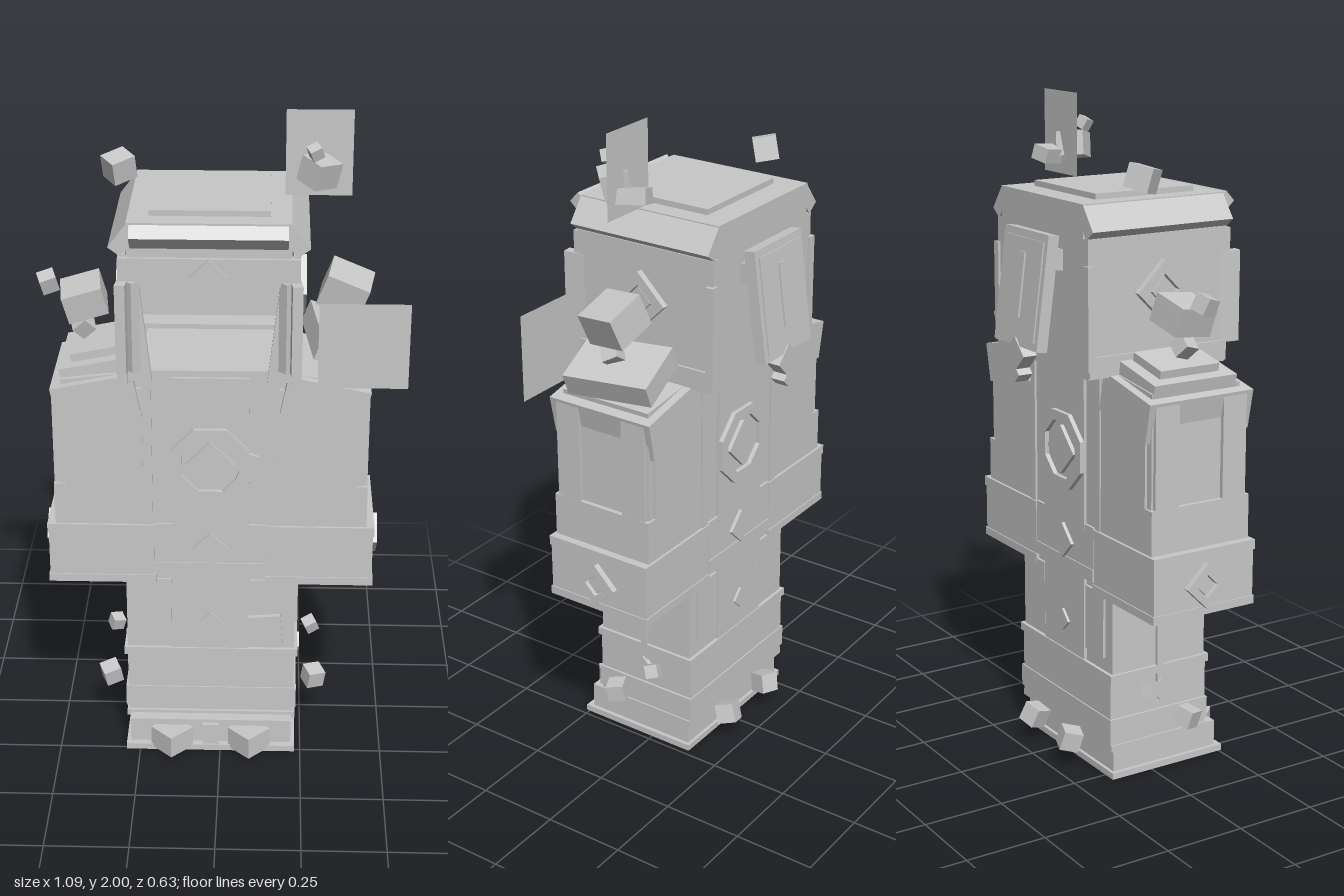
import * as THREE from 'three';

const grey = new THREE.MeshStandardMaterial({ color: 0xc8c8c8 });
grey.name = 'stoneGrey';
grey.side = THREE.DoubleSide;

// Box with size, position and rotation
function box(parent, name, size, pos, rot = [0, 0, 0]) {
  const m = new THREE.Mesh(new THREE.BoxGeometry(...size), grey);
  m.name = name;
  m.position.set(...pos);
  m.rotation.set(...rot);
  parent.add(m);
  return m;
}

function group(parent, name, pos = [0, 0, 0], rotY = 0) {
  const g = new THREE.Group();
  g.name = name;
  g.position.set(...pos);
  g.rotation.y = rotY;
  parent.add(g);
  return g;
}

// Extruded flat shape
function extrude(parent, name, shape, depth, pos) {
  const m = new THREE.Mesh(new THREE.ExtrudeGeometry(shape, { depth, bevelEnabled: false }), grey);
  m.name = name;
  m.position.set(...pos);
  parent.add(m);
  return m;
}

function polygon(n, r, turn = 0) {
  return Array.from({ length: n }, (_, i) => {
    const a = turn + (i / n) * Math.PI * 2;
    return new THREE.Vector2(Math.cos(a) * r, Math.sin(a) * r);
  });
}

// Polygon ring of n sides
function ring(parent, name, n, r, hole, depth, pos, turn) {
  const s = new THREE.Shape(polygon(n, r, turn));
  s.holes.push(new THREE.Path(polygon(n, hole, turn)));
  return extrude(parent, name, s, depth, pos);
}

// Square standing on its corner, r = half diagonal, facing +z
function diamond(parent, name, r, depth, pos) {
  return box(parent, name, [r * 1.414, r * 1.414, depth], pos, [0, 0, Math.PI / 4]);
}

export function createModel() {
  const model = new THREE.Group();
  model.name = 'armouredFigure';
  const body = group(model, 'body', [-0.03, 0, 0.025]);

  // Boots and legs
  box(body, 'sole', [0.525, 0.02, 0.4], [0, 0.01, 0.035]);
  box(body, 'bootBase', [0.5, 0.09, 0.37], [0, 0.055, 0.03]);
  box(body, 'bootRim', [0.525, 0.02, 0.35], [0, 0.1, 0.005]);
  box(body, 'boots', [0.515, 0.235, 0.342], [0, 0.22, 0]);
  box(body, 'bootCollar', [0.53, 0.07, 0.35], [0, 0.16, 0]);
  box(body, 'bootTop', [0.535, 0.025, 0.352], [0, 0.325, 0]);
  box(body, 'legs', [0.515, 0.32, 0.33], [0, 0.48, 0]);
  for (const x of [-0.12, 0.12]) {
    box(body, 'toe', [0.092, 0.07, 0.092], [x, 0.045, 0.228], [0, Math.PI / 4, 0]);
  }
  box(body, 'toeGap', [0.05, 0.08, 0.03], [0, 0.05, 0.215]);

  // Torso
  box(body, 'torso', [0.4, 0.67, 0.33], [0, 0.935, 0]);
  box(body, 'belt', [0.33, 0.13, 0.345], [0, 0.705, 0]);
  box(body, 'beltRim', [0.33, 0.04, 0.352], [0, 0.62, 0]);

  // Ornament repeated on front and back
  for (const [side, turn] of [['front', 0], ['back', Math.PI]]) {
    const g = group(body, side + 'Ornament', [0, 0, 0], turn);
    box(g, 'chestPanel', [0.23, 0.5, 0.012], [0, 1.0, 0.168]);
    ring(g, 'emblemRing', 8, 0.125, 0.092, 0.016, [0, 0.975, 0.172], Math.PI / 8);
    diamond(g, 'emblemGem', 0.075, 0.02, [0, 0.975, 0.176]);
    diamond(g, 'beltGem', 0.055, 0.014, [0, 0.69, 0.176]);
    box(g, 'tabard', [0.23, 0.27, 0.014], [0, 0.475, 0.168]);
    diamond(g, 'tabardGem', 0.035, 0.012, [0, 0.435, 0.177]);
    for (const s of [-1, 1]) {
      box(g, 'thighPanel', [0.1, 0.2, 0.014], [s * 0.17, 0.48, 0.166]);
      box(g, 'chestEdge', [0.025, 0.48, 0.012], [s * 0.185, 1.0, 0.166]);
    }
  }
  box(body, 'loosePatch', [0.1, 0.1, 0.02], [0.167, 0.41, 0.178], [0, 0, 0.08]);
  box(body, 'chestShard', [0.04, 0.15, 0.012], [0.1, 0.94, 0.182], [0, 0, -0.35]);

  // Arms, mirrored
  for (const s of [-1, 1]) {
    const arm = group(body, s > 0 ? 'leftArm' : 'rightArm');
    box(arm, 'upperArm', [0.255, 0.44, 0.322], [s * 0.325, 0.99, 0]);
    box(arm, 'shoulder', [0.24, 0.13, 0.3], [s * 0.31, 1.18, 0], [0, 0, -s * 0.12]);
    box(arm, 'pauldron', [0.245, 0.12, 0.352], [s * 0.335, 1.175, 0], [0, 0, -s * 0.2]);
    box(arm, 'forearm', [0.272, 0.14, 0.336], [s * 0.33, 0.83, 0]);
    box(arm, 'cuff', [0.318, 0.195, 0.345], [s * 0.328, 0.667, 0]);
    box(arm, 'cuffTopRim', [0.325, 0.03, 0.352], [s * 0.328, 0.752, 0]);
    box(arm, 'cuffBottomRim', [0.325, 0.025, 0.352], [s * 0.328, 0.583, 0]);
    for (const z of [-1, 1]) {
      box(arm, 'armPanel', [0.23, 0.24, 0.012], [s * 0.315, 1.02, z * 0.162]);
      box(arm, 'armRib', [0.02, 0.34, 0.08], [s * 0.455, 1.03, z * 0.115]);
    }
    const gem = group(arm, 'cuffGem', [s * 0.482, 0.66, 0], s * Math.PI / 2);
    ring(gem, 'gemFrame', 4, 0.068, 0.035, 0.024, [0, 0, 0], 0);
    diamond(gem, 'gem', 0.03, 0.02, [0, 0, 0.005]);
    // Leg side strip and stud
    box(body, 'legStrip', [0.012, 0.3, 0.022], [s * 0.262, 0.42, 0]);
    const stud = group(body, 'legStud', [s * 0.268, 0.26, 0], s * Math.PI / 2);
    diamond(stud, 'studGem', 0.035, 0.014, [0, 0, 0]);
  }
  // Shoulder caps
  box(model, 'rightShoulderCap', [0.2, 0.05, 0.28], [-0.37, 1.25, 0.02], [0, 0, 0.2]);
  box(model, 'rightShoulderCapTop', [0.14, 0.04, 0.2], [-0.37, 1.28, 0.02], [0, 0, 0.2]);
  box(model, 'leftShoulderCap', [0.175, 0.07, 0.27], [0.345, 1.305, 0.015], [0.05, 0.12, -0.38]);

  // Helmet, hollow with an open face
  const head = group(body, 'helmet');
  box(head, 'backWall', [0.51, 0.4, 0.02], [0, 1.445, -0.235]);
  box(head, 'neckRim', [0.47, 0.04, 0.08], [0, 1.265, -0.19]);
  box(head, 'roof', [0.46, 0.1, 0.475], [0, 1.69, -0.008]);
  box(head, 'crown', [0.34, 0.02, 0.335], [0, 1.747, 0]);
  box(head, 'browBand', [0.51, 0.08, 0.03], [0, 1.6, 0.225]);
  diamond(head, 'browGem', 0.055, 0.014, [0, 1.587, 0.245]);
  box(head, 'browBar', [0.44, 0.042, 0.075], [0, 1.7, 0.235], [-0.75, 0, 0]);
  for (const s of [-1, 1]) {
    box(head, 'sideWall', [0.02, 0.4, 0.47], [s * 0.245, 1.445, -0.01]);
    box(head, 'sideBar', [0.088, 0.044, 0.475], [s * 0.2375, 1.69, -0.008], [0, 0, -s * 0.925]);
    box(head, 'cheekGuard', [0.03, 0.27, 0.085], [s * 0.243, 1.437, 0.23], [0, s * 0.12, 0]);
    box(head, 'cheekPost', [0.03, 0.27, 0.03], [s * 0.217, 1.437, 0.235], [0, Math.PI / 4, 0]);
    box(head, 'sideFoot', [0.02, 0.06, 0.47], [s * 0.253, 1.28, -0.01]);
    box(head, 'rearPost', [0.025, 0.3, 0.025], [s * 0.255, 1.42, -0.24]);
    // Tapered cheek plate
    const cheek = new THREE.Shape([[0.25, 1.57], [0.2, 1.57], [0.165, 1.26], [0.25, 1.26]]
      .map(([x, y]) => new THREE.Vector2(s * x, y)));
    extrude(head, 'cheekPlate', cheek, 0.015, [0, 0, 0.205]);
    const gem = group(head, 'templeGem', [s * 0.253, 1.48, 0], s * Math.PI / 2);
    ring(gem, 'templeFrame', 4, 0.09, 0.05, 0.022, [0, 0, 0], 0);
    diamond(gem, 'templeStone', 0.04, 0.015, [0, 0, 0.008]);
  }
  // Hanging panel at the back of the helmet
  const panel = group(head, 'backPanel', [0, 1.475, -0.297]);
  panel.rotation.x = 0.13;
  box(panel, 'panelSlab', [0.245, 0.335, 0.035], [0, 0, 0]);
  box(panel, 'panelFace', [0.21, 0.29, 0.02], [0, 0, -0.012]);
  box(panel, 'panelSlit', [0.035, 0.19, 0.014], [0, 0.01, -0.021]);
  box(panel, 'panelBracket', [0.24, 0.06, 0.07], [0, 0.1, 0.03]);
  box(head, 'panelPendant', [0.075, 0.075, 0.045], [0, 1.285, -0.316], [0, 0, Math.PI / 4]);
  box(head, 'pendantTip', [0.035, 0.035, 0.045], [0, 1.225, -0.316], [0, 0, Math.PI / 4]);

  // Floating flat panes
  const pane = (name, w, h, pos) => {
    const m = new THREE.Mesh(new THREE.PlaneGeometry(w, h), grey);
    m.name = name;
    m.position.set(...pos);
    model.add(m);
  };
  pane('upperPane', 0.19, 0.25, [0.275, 1.875, 0.03]);
  pane('lowerPane', 0.26, 0.26, [0.41, 1.36, 0.21]);

  // Floating rubble: size, position, rotation
  const rubble = [
    [[0.12, 0.085, 0.13], [-0.405, 1.43, 0.02], [0.12, 0.12, 0.25]],
    [[0.05, 0.05, 0.05], [-0.51, 1.475, 0.02], [0.3, 0.3, 0.2]],
    [[0.05, 0.05, 0.05], [-0.41, 1.34, 0.02], [0.3, 0.2, 0.7]],
    [[0.075, 0.07, 0.07], [-0.3, 1.805, -0.05], [0.2, 0.6, 0.1]],
    [[0.13, 0.1, 0.13], [0.36, 1.465, 0.02], [0.12, -0.15, -0.35]],
    [[0.05, 0.05, 0.05], [0.36, 1.36, 0.03], [0.5, 0.3, 0.5]],
    [[0.085, 0.075, 0.08], [0.275, 1.835, 0.075], [0.3, 0.7, -0.3]],
    [[0.035, 0.035, 0.035], [0.262, 1.9, 0.105], [0.3, 0.4, 0.3]],
    [[0.06, 0.045, 0.09], [0.29, 1.81, 0.0], [0.1, 0.3, 0.2]],
  ];
  for (const s of [-1, 1]) {
    rubble.push([[0.04, 0.04, 0.04], [-0.03 + s * 0.31, 0.285, -0.04], [0.3, 0.4, s * 0.3]]);
    rubble.push([[0.055, 0.055, 0.055], [-0.03 + s * 0.32, 0.175, 0.09], [0.2, 0.4, -s * 0.15]]);
    rubble.push([[0.06, 0.06, 0.06], [-0.02 + s * 0.105, 0.085, -0.19], [0.3, s * 0.3, 0.2]]);
  }
  for (const [size, pos, rot] of rubble) box(model, 'rubbleCube', size, pos, rot);

  return model;
}
